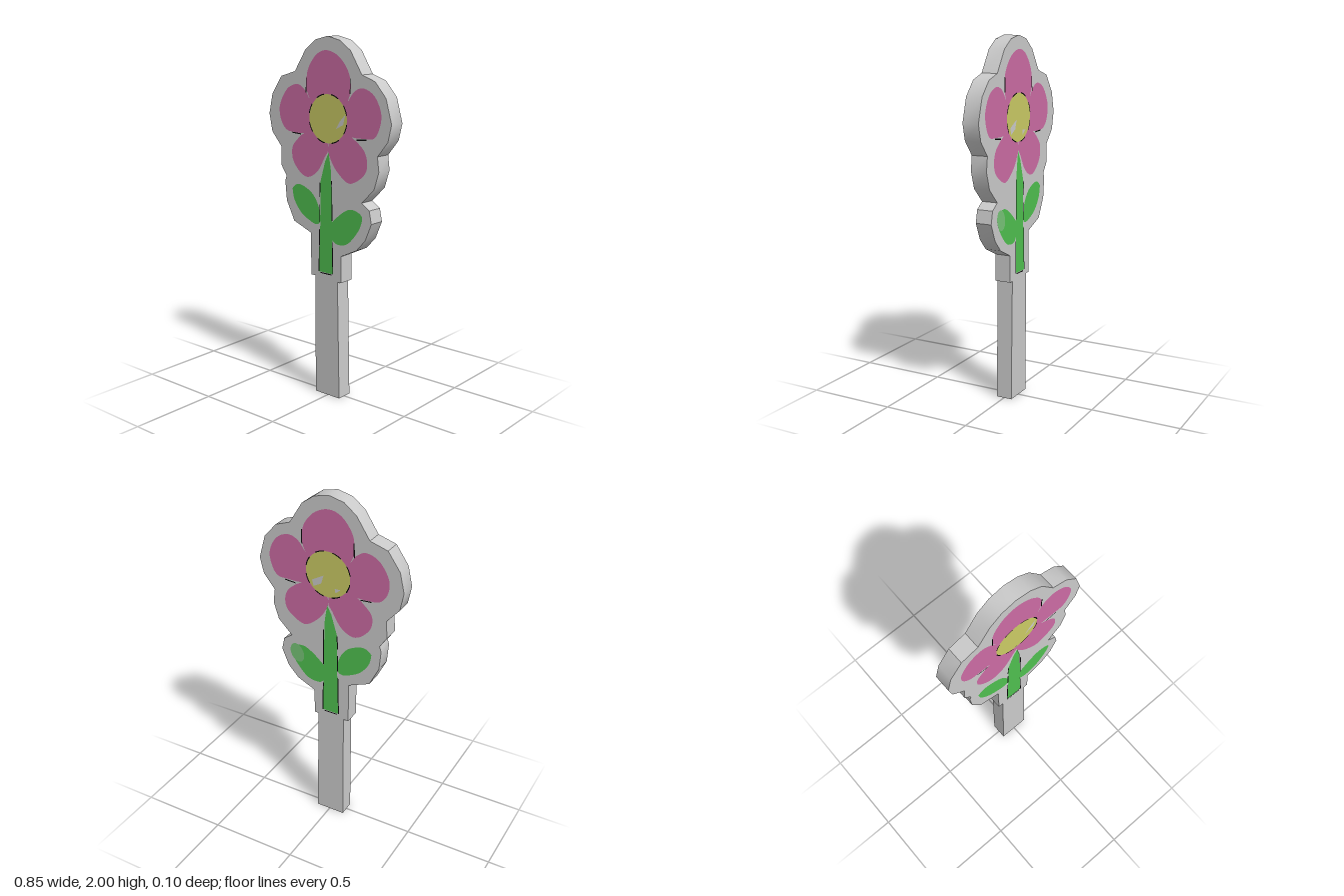
import * as THREE from 'three';
import { toCreasedNormals } from 'three/addons/utils/BufferGeometryUtils.js';

const material = (name, color, doubleSided = false) => {
  const m = new THREE.MeshStandardMaterial({ color });
  m.name = name;
  if (doubleSided) m.side = THREE.DoubleSide;
  return m;
};

const FRONT = 0.046, BACK = -0.046, LAYER = 0.0012;

// Silhouette of the flat body with its handle
const OUTLINE = [
  [-0.09, 0], [-0.09, 0.69], [-0.12, 0.69], [-0.12, 0.93], [-0.245, 0.98], [-0.3, 1.09],
  [-0.31, 1.2], [-0.3, 1.23], [-0.34, 1.29], [-0.335, 1.39], [-0.405, 1.47], [-0.425, 1.57],
  [-0.4, 1.68], [-0.33, 1.78], [-0.23, 1.81], [-0.155, 1.925], [-0.085, 1.98], [0, 2],
  [0.085, 1.98], [0.155, 1.93], [0.23, 1.81], [0.315, 1.78], [0.385, 1.7], [0.422, 1.57],
  [0.4, 1.48], [0.335, 1.4], [0.345, 1.32], [0.315, 1.225], [0.235, 1.145], [0.285, 1.11],
  [0.3, 1.04], [0.26, 0.945], [0.2, 0.88], [0.095, 0.83], [0.095, 0.68], [0.07, 0.68], [0.083, 0],
];

// Painted shapes
const PETALS = {
  topPetal: [[-0.145, 1.71], [-0.14, 1.81], [-0.09, 1.89], [-0.03, 1.925], [0.035, 1.92],
    [0.1, 1.88], [0.15, 1.805], [0.155, 1.71], [0.1, 1.62], [0, 1.58], [-0.09, 1.62]],
  rightPetal: [[-0.13, 1.675], [-0.16, 1.715], [-0.215, 1.742], [-0.29, 1.71], [-0.343, 1.62],
    [-0.335, 1.54], [-0.295, 1.49], [-0.24, 1.48], [-0.17, 1.48], [-0.09, 1.5], [-0.06, 1.6]],
  leftPetal: [[0.145, 1.675], [0.185, 1.725], [0.245, 1.742], [0.315, 1.705], [0.357, 1.62],
    [0.345, 1.54], [0.31, 1.49], [0.245, 1.485], [0.18, 1.485], [0.09, 1.5], [0.07, 1.6]],
  lowerRightPetal: [[-0.19, 1.465], [-0.245, 1.41], [-0.255, 1.36], [-0.24, 1.31], [-0.19, 1.258],
    [-0.135, 1.242], [-0.07, 1.28], [-0.02, 1.36], [0.005, 1.41], [-0.02, 1.5], [-0.1, 1.51]],
  lowerLeftPetal: [[0.2, 1.465], [0.25, 1.42], [0.27, 1.36], [0.255, 1.3], [0.19, 1.25],
    [0.135, 1.242], [0.06, 1.3], [0.02, 1.36], [0.005, 1.41], [0.03, 1.5], [0.11, 1.51]],
};
const LEAVES = {
  rightLeaf: [[-0.255, 1.165], [-0.225, 1.19], [-0.18, 1.19], [-0.11, 1.155], [-0.065, 1.09],
    [-0.05, 1.01], [-0.08, 0.985], [-0.13, 1], [-0.19, 1.035], [-0.24, 1.1]],
  leftLeaf: [[0.03, 1.01], [0.1, 1.07], [0.165, 1.1], [0.235, 1.075], [0.225, 1.01],
    [0.175, 0.94], [0.125, 0.9], [0.06, 0.895], [0.03, 0.93]],
};
const STEM = [[-0.06, 0.72], [-0.05, 1], [-0.05, 1.22], [-0.015, 1.34], [0.01, 1.39],
  [0.025, 1.3], [0.03, 1.15], [0.04, 0.72]];

// Broken ink strokes: start x, y and end x, y
const STROKES = [
  [-0.06, 0.72, -0.055, 0.96], [-0.053, 1.0, -0.053, 1.1], [-0.053, 1.14, -0.05, 1.22],
  [0.04, 0.72, 0.036, 0.9], [0.034, 1.02, 0.032, 1.24], [-0.05, 0.715, 0.03, 0.715],
  [-0.147, 1.7, -0.145, 1.78], [0.157, 1.71, 0.157, 1.79],
  [-0.25, 1.478, -0.185, 1.474], [0.2, 1.474, 0.265, 1.48],
];

const points = (list) => list.map(([x, y]) => new THREE.Vector2(x, y));
const polygon = (list) => new THREE.ShapeGeometry(new THREE.Shape(points(list)));
const blob = (list) =>
  new THREE.ShapeGeometry(new THREE.Shape(new THREE.SplineCurve(points([...list, list[0]])).getPoints(48)));

// Turn a flat geometry to face -z without mirroring it
function faceBack(geometry) {
  const index = geometry.index.array;
  for (let i = 0; i < index.length; i += 3) [index[i], index[i + 1]] = [index[i + 1], index[i]];
  geometry.computeVertexNormals();
  return geometry;
}

export function createModel() {
  const model = new THREE.Group();
  model.name = 'flowerOnHandle';
  const grey = material('bodyGrey', 0xcacaca);
  const pink = material('petalPink', 0xcb6ba3);
  const yellow = material('centreYellow', 0xcaca64);
  const green = material('leafGreen', 0x4fbf4f);
  const paleGreen = material('paleLeafGreen', 0x76c276);
  const black = material('inkBlack', 0x080808);

  // Flat body
  const slab = new THREE.ExtrudeGeometry(new THREE.Shape(points(OUTLINE)),
    { depth: FRONT - BACK, bevelEnabled: false });
  slab.translate(0, 0, BACK);
  const body = new THREE.Mesh(toCreasedNormals(slab, 0.6), grey);
  body.name = 'body';
  model.add(body);

  // The same painting on each face
  for (const side of [1, -1]) {
    const painting = new THREE.Group();
    painting.name = side > 0 ? 'frontPainting' : 'backPainting';
    model.add(painting);

    const paint = (name, geometry, mat, layer) => {
      const mesh = new THREE.Mesh(side > 0 ? geometry : faceBack(geometry), mat);
      mesh.name = name;
      mesh.position.z = (side > 0 ? FRONT : BACK) + side * layer * LAYER;
      painting.add(mesh);
    };

    for (const [name, list] of Object.entries(PETALS)) paint(name, blob(list), pink, 1);
    for (const [name, list] of Object.entries(LEAVES)) paint(name, blob(list), green, 1);
    paint('stem', polygon(STEM), green, 2);

    // Flower centre with a broken ink rim
    paint('flowerCentre', new THREE.CircleGeometry(0.13, 40).translate(0.005, 1.57, 0), yellow, 2);
    for (let i = 0; i < 8; i++) {
      const arc = new THREE.RingGeometry(0.128, 0.134, 6, 1, (i * Math.PI) / 4 + 0.2, 0.42);
      paint('centreRim', arc.translate(0.005, 1.57, 0), black, 3);
    }

    // Ink strokes
    for (const [x1, y1, x2, y2] of STROKES) {
      const stroke = new THREE.PlaneGeometry(Math.hypot(x2 - x1, y2 - y1), 0.006);
      stroke.rotateZ(Math.atan2(y2 - y1, x2 - x1)).translate((x1 + x2) / 2, (y1 + y2) / 2, 0);
      paint('inkStroke', stroke, black, 3);
    }

    // Bare flecks in the centre, and a pale leaf tip on the back
    if (side > 0) {
      paint('bareFleck', polygon([[0.06, 1.52], [0.11, 1.545], [0.125, 1.6], [0.09, 1.565]]), grey, 3);
    } else {
      paint('bareFleck', polygon([[0.03, 1.56], [0.045, 1.51], [0.09, 1.485], [0.1, 1.52]]), grey, 3);
      paint('bareFleck', polygon([[-0.07, 1.5], [-0.04, 1.475], [-0.035, 1.5]]), grey, 3);
      const tip = new THREE.CircleGeometry(1, 24).scale(0.042, 0.058, 1).rotateZ(-0.3);
      paint('paleLeafTip', tip.translate(0.2, 1.045, 0), paleGreen, 3);
    }
  }
  return model;
}
